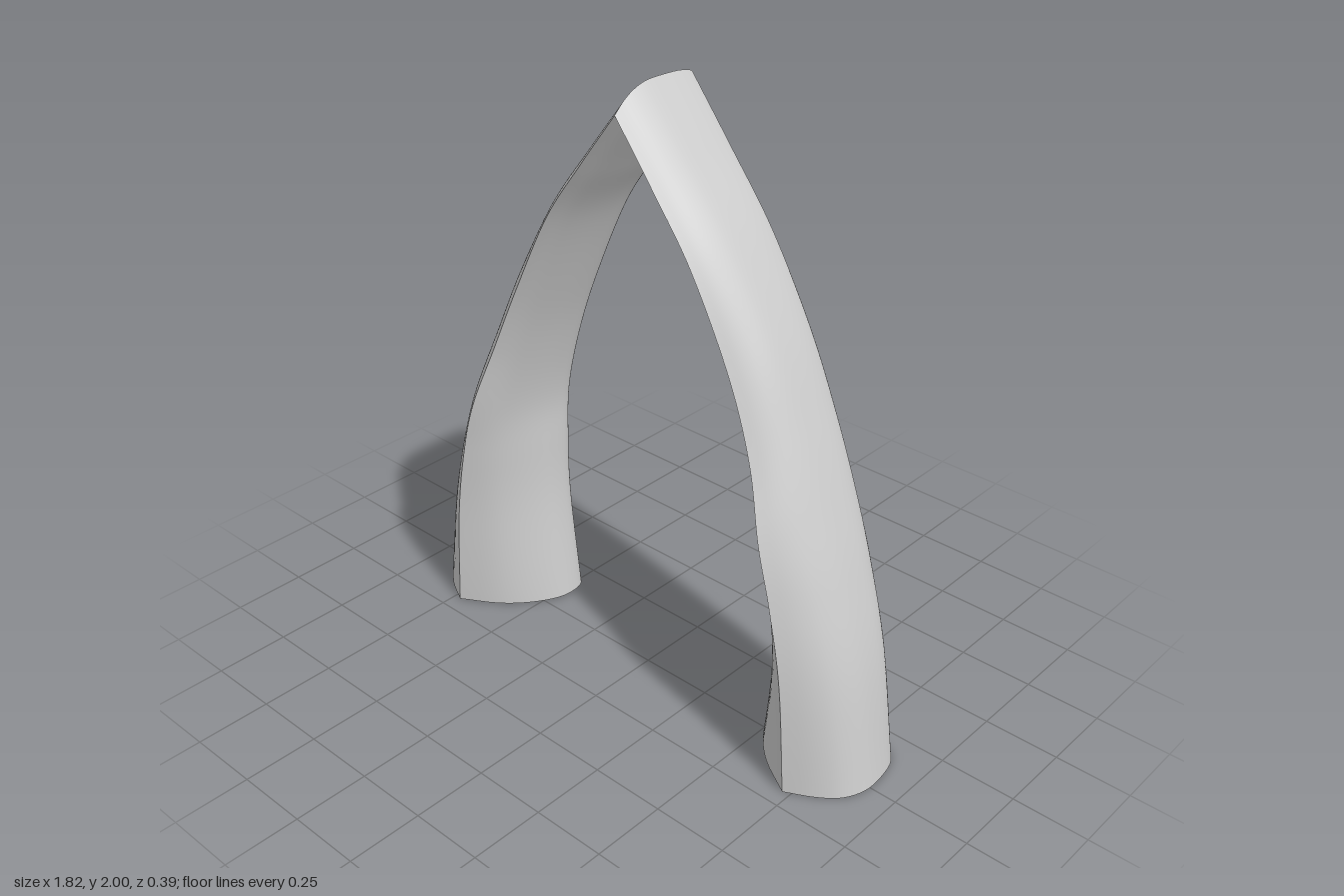
import * as THREE from 'three';

// Stations from foot to apex: outer x,y, inner x,y, ridge position across the section, ridge z
const STATIONS = [
  [0.905, 0, 0.465, 0, 0.59, 0.193],
  [0.84, 0.38, 0.513, 0.36, 0.56, 0.195],
  [0.76, 0.66, 0.523, 0.6, 0.53, 0.197],
  [0.68, 0.88, 0.517, 0.78, 0.48, 0.192],
  [0.59, 1.1, 0.468, 0.99, 0.46, 0.153],
  [0.475, 1.345, 0.39, 1.21, 0.45, 0.135],
  [0.318, 1.6, 0.255, 1.51, 0.45, 0.135],
  [0.155, 1.808, 0.125, 1.7, 0.46, 0.135],
  [0, 2, 0, 1.87, 0.46, 0.135],
];

// Cross-section: position from inner (0) to outer (1) edge, and z; starts and ends on the front ridge
const SECTION = [
  [0.59, 0.19], [0.31, 0.115], [0.14, 0.04], [0.02, -0.05], [0, -0.11], [0.03, -0.165],
  [0.12, -0.19], [0.35, -0.192], [0.62, -0.192], [0.84, -0.185], [0.95, -0.145],
  [1, -0.06], [1, 0.02], [0.93, 0.09], [0.8, 0.14], [0.59, 0.19],
];

const ROWS = 64;
const COLS = 60;

function sectionPoint([f, z], [ox, oy, ix, iy, ridge, front]) {
  const w = Math.max(0, z / 0.19);
  const g = f - (0.59 - ridge) * w;
  return new THREE.Vector3(ix + (ox - ix) * g, iy + (oy - iy) * g, z > 0 ? w * front : z);
}

// One hollow arm, lofted from foot to apex; side = 1 or -1
function armGeometry(side) {
  const rails = SECTION.map((p) => new THREE.CatmullRomCurve3(
    STATIONS.map((s) => sectionPoint(p, s)), false, 'catmullrom', 0.5));
  const positions = [];
  const index = [];
  for (let i = 0; i <= ROWS; i++) {
    const ring = new THREE.CatmullRomCurve3(rails.map((r) => r.getPoint(i / ROWS)));
    for (let j = 0; j <= COLS; j++) {
      const p = ring.getPoint(j / COLS);
      positions.push(side * p.x, p.y, p.z);
      if (i === ROWS || j === COLS) continue;
      const a = i * (COLS + 1) + j;
      const b = a + COLS + 1;
      if (side > 0) index.push(a, b, a + 1, b, b + 1, a + 1);
      else index.push(a, a + 1, b, b, a + 1, b + 1);
    }
  }
  const geometry = new THREE.BufferGeometry();
  geometry.setAttribute('position', new THREE.Float32BufferAttribute(positions, 3));
  geometry.setIndex(index);
  geometry.computeVertexNormals();
  return geometry;
}

export function createModel() {
  const group = new THREE.Group();
  group.name = 'pointedArch';
  const material = new THREE.MeshStandardMaterial({ color: 0xcccccc, side: THREE.DoubleSide });
  for (const [name, side] of [['leftArm', 1], ['rightArm', -1]]) {
    const arm = new THREE.Mesh(armGeometry(side), material);
    arm.name = name;
    group.add(arm);
  }
  return group;
}
